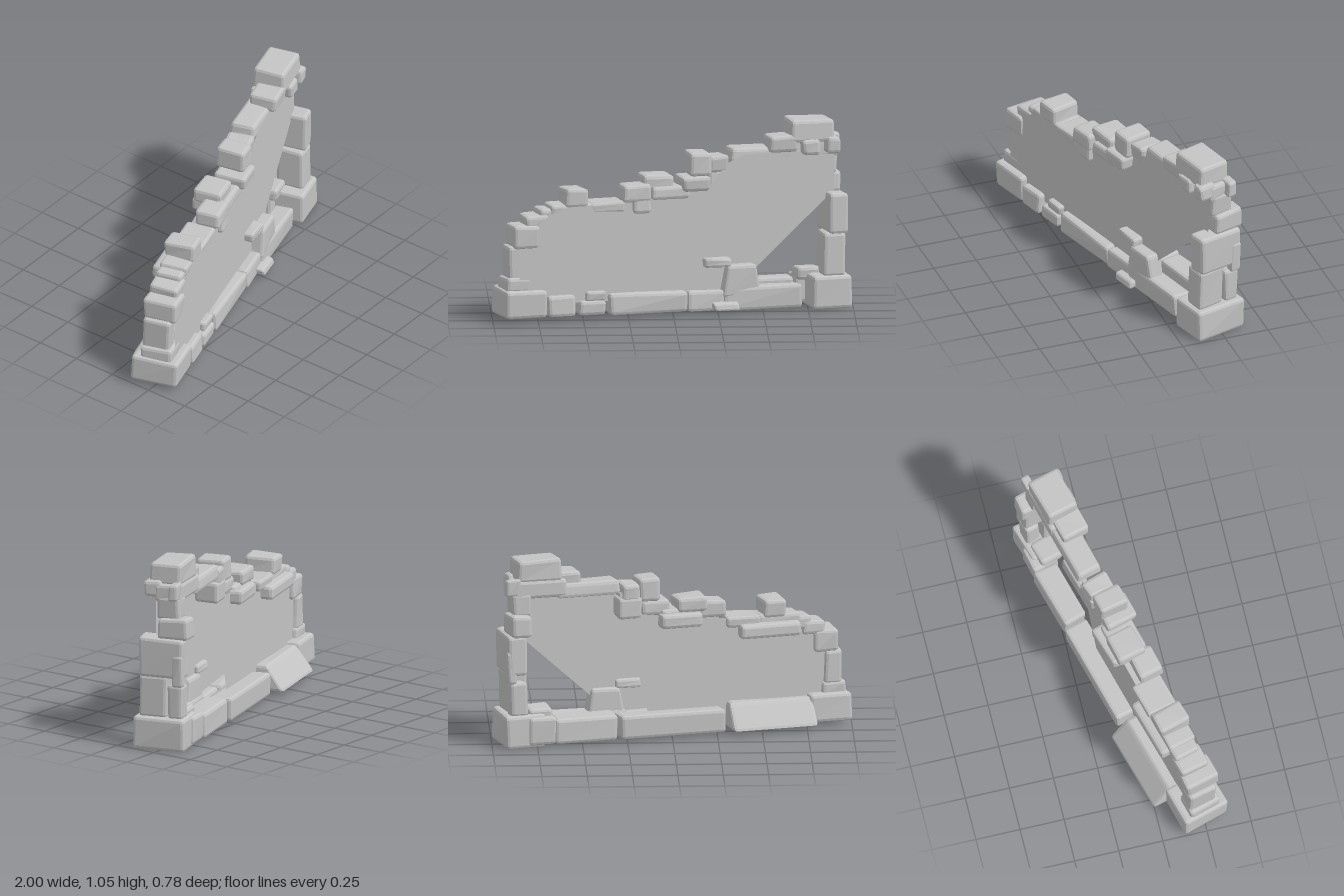
import * as THREE from 'three';
import { RoundedBoxGeometry } from 'three/addons/geometries/RoundedBoxGeometry.js';

const ANGLE = 0.265, S = Math.sin(ANGLE), C = Math.cos(ANGLE);

export function createModel() {
  const model = new THREE.Group();
  model.name = 'ruinedWall';
  const wall = new THREE.Group();
  wall.name = 'wall';
  wall.rotation.y = ANGLE; // the wall runs diagonally
  model.add(wall);

  const stone = new THREE.MeshStandardMaterial({ color: 0xc4c4c4 });
  stone.name = 'stoneGrey';
  stone.side = THREE.DoubleSide;

  let seed = 7;
  const rnd = () => (seed = (seed * 16807) % 2147483647) / 2147483647 - 0.5;

  // Chamfered, slightly irregular block. x range is the span seen from the front,
  // w range is the depth across the wall. top = scale of the upper face along the wall,
  // lean = how far the top of the back slopes inward.
  function block(name, [x0, x1, y0, y1, w0, w1], top = 1, lean = 0) {
    const h = y1 - y0, d = w1 - w0, wc = (w0 + w1) / 2;
    const len = Math.max(0.04, (x1 - x0 - d * S) / C);
    const r = Math.min(0.018, Math.min(len, h, d) * 0.25);
    const geo = new RoundedBoxGeometry(len, h, d, 1, r);
    const jit = Array.from({ length: 24 }, () => rnd() * 0.014);
    const p = geo.attributes.position;
    for (let i = 0; i < p.count; i++) {
      const v = [p.getX(i) / len + 0.5, p.getY(i) / h + 0.5, p.getZ(i) / d + 0.5];
      const off = [0, 0, 0];
      for (let c = 0; c < 8; c++) {
        const k = (c & 1 ? v[0] : 1 - v[0]) * (c & 2 ? v[1] : 1 - v[1]) * (c & 4 ? v[2] : 1 - v[2]);
        for (let a = 0; a < 3; a++) off[a] += k * jit[c * 3 + a];
      }
      // the foot of each block stays level
      p.setXYZ(i, p.getX(i) * (1 + (top - 1) * v[1]) + off[0], p.getY(i) + off[1] * v[1],
        p.getZ(i) + lean * v[1] * (1 - v[2]) + off[2]);
    }
    geo.computeVertexNormals();
    const mesh = new THREE.Mesh(geo, stone);
    mesh.name = name;
    mesh.position.set(((x0 + x1) / 2 - wc * S) / C, (y0 + y1) / 2, wc);
    wall.add(mesh);
  }
  const row = (name, list) => list.forEach((b, i) => block(name + (i + 1), b));

  // Wall sheets: outline as seen from the front, set at a depth that drifts along the wall
  function sheet(name, outline, depth) {
    const pts = outline.map(([x, y]) => new THREE.Vector2((x - 0.07 * S) / C, y));
    const geo = new THREE.ShapeGeometry(new THREE.Shape(pts));
    const p = geo.attributes.position;
    for (let i = 0; i < p.count; i++) p.setZ(i, depth(p.getX(i)));
    geo.computeVertexNormals();
    const mesh = new THREE.Mesh(geo, stone);
    mesh.name = name;
    wall.add(mesh);
  }
  const frontDepth = (u) => 0.071 - 0.02 * u;
  const backDepth = () => -0.065;

  // The tall part is one thick front sheet with a broken lower corner;
  // the low part also has a back sheet, ending in a slanted step
  const lowTop = [[0.2, 0.7], [-0.12, 0.66], [-0.3, 0.64], [-0.58, 0.635], [-0.68, 0.6],
    [-0.76, 0.54], [-0.86, 0.43], [-0.86, 0.1]];
  sheet('frontFace', [[0.3, 0.1], [0.42, 0.2], [0.9, 0.65], [0.9, 0.85], [0.62, 0.88],
    [0.4, 0.875], [0.3, 0.83], ...lowTop], frontDepth);
  sheet('backFace', [[0.16, 0.1], [0.33, 0.84], [0.28, 0.82], ...lowTop], backDepth);

  // Footing, front course
  row('frontFooting', [
    [-1.0, -0.7, 0.03, 0.185, -0.14, 0.13], [-0.72, -0.54, 0.03, 0.15, 0.01, 0.125],
    [-0.55, -0.37, 0.03, 0.11, 0.01, 0.125], [-0.5, -0.37, 0.1, 0.165, 0.04, 0.115],
    [-0.38, 0.085, 0.022, 0.14, 0.01, 0.125], [0.06, 0.29, 0.02, 0.13, 0.02, 0.13],
    [0.25, 0.72, 0.015, 0.145, 0.02, 0.135], [0.7, 1.0, 0.005, 0.19, -0.135, 0.165],
    [0.21, 0.37, 0.025, 0.07, 0.09, 0.17], [0.16, 0.33, 0.26, 0.31, 0.04, 0.12],
    [0.66, 0.83, 0.15, 0.22, -0.1, 0.03],
  ]);
  block('brokenUpright', [0.25, 0.49, 0.09, 0.265, 0.03, 0.13], 0.72);

  // Footing, back course
  row('backFooting', [
    [-0.3, 0.32, 0.02, 0.15, -0.17, -0.03], [0.3, 0.68, 0.02, 0.165, -0.155, -0.02],
    [0.64, 0.83, 0.02, 0.18, -0.15, 0],
  ]);
  block('slopingRubble', [-0.82, -0.29, 0.03, 0.17, -0.23, -0.02], 0.97, 0.11);

  // Low end pillar
  row('lowPillar', [
    [-0.97, -0.79, 0.17, 0.25, -0.09, 0.09], [-0.95, -0.81, 0.23, 0.425, -0.085, 0.075],
    [-0.93, -0.74, 0.415, 0.54, -0.09, 0.1], [-0.86, -0.69, 0.52, 0.595, -0.09, 0.08],
    [-0.78, -0.62, 0.55, 0.625, -0.08, 0.07],
  ]);

  // Tall end pillar
  row('tallPillar', [
    [0.8, 0.96, 0.18, 0.425, -0.02, 0.14], [0.8, 0.92, 0.18, 0.375, -0.115, -0.03],
    [0.8, 0.975, 0.415, 0.64, -0.12, 0.14], [0.86, 0.93, 0.37, 0.55, -0.125, -0.06],
    [0.78, 0.935, 0.635, 0.755, -0.15, 0.03], [0.78, 0.92, 0.74, 0.87, -0.09, 0.045],
  ]);

  // Broken coping along the top
  row('coping', [
    [-0.72, -0.44, 0.585, 0.645, -0.085, 0.08], [-0.5, -0.26, 0.59, 0.65, -0.085, 0.08],
    [-0.64, -0.47, 0.63, 0.735, -0.09, 0.09], [-0.31, -0.12, 0.645, 0.74, -0.04, 0.1],
    [-0.24, -0.12, 0.58, 0.69, 0.02, 0.1], [-0.2, 0.01, 0.7, 0.78, -0.1, 0.06],
    [-0.16, 0.1, 0.65, 0.725, -0.09, 0.09], [0.01, 0.21, 0.69, 0.77, -0.06, 0.12],
    [0.06, 0.22, 0.77, 0.9, -0.07, 0.1], [0.17, 0.31, 0.78, 0.875, -0.08, 0.07],
    [0.16, 0.33, 0.68, 0.8, -0.08, 0.06], [0.5, 0.7, 0.88, 0.97, -0.06, 0.1],
    [0.61, 0.905, 0.93, 1.055, -0.09, 0.1], [0.7, 0.82, 0.86, 0.945, 0.03, 0.12],
    [0.83, 0.935, 0.865, 0.955, 0.015, 0.12], [0.84, 0.93, 0.86, 0.955, -0.09, -0.04],
  ]);
  block('longCoping', [0.28, 0.68, 0.83, 0.905, -0.1, 0.06], 0.95, 0.02);
  block('pillarCap', [0.58, 0.92, 0.84, 0.94, -0.095, 0.05]);

  // Ledges on the back
  row('backLedge', [
    [-0.72, -0.36, 0.53, 0.61, -0.13, -0.04], [-0.18, 0.08, 0.62, 0.7, -0.13, -0.04],
  ]);
  return model;
}
